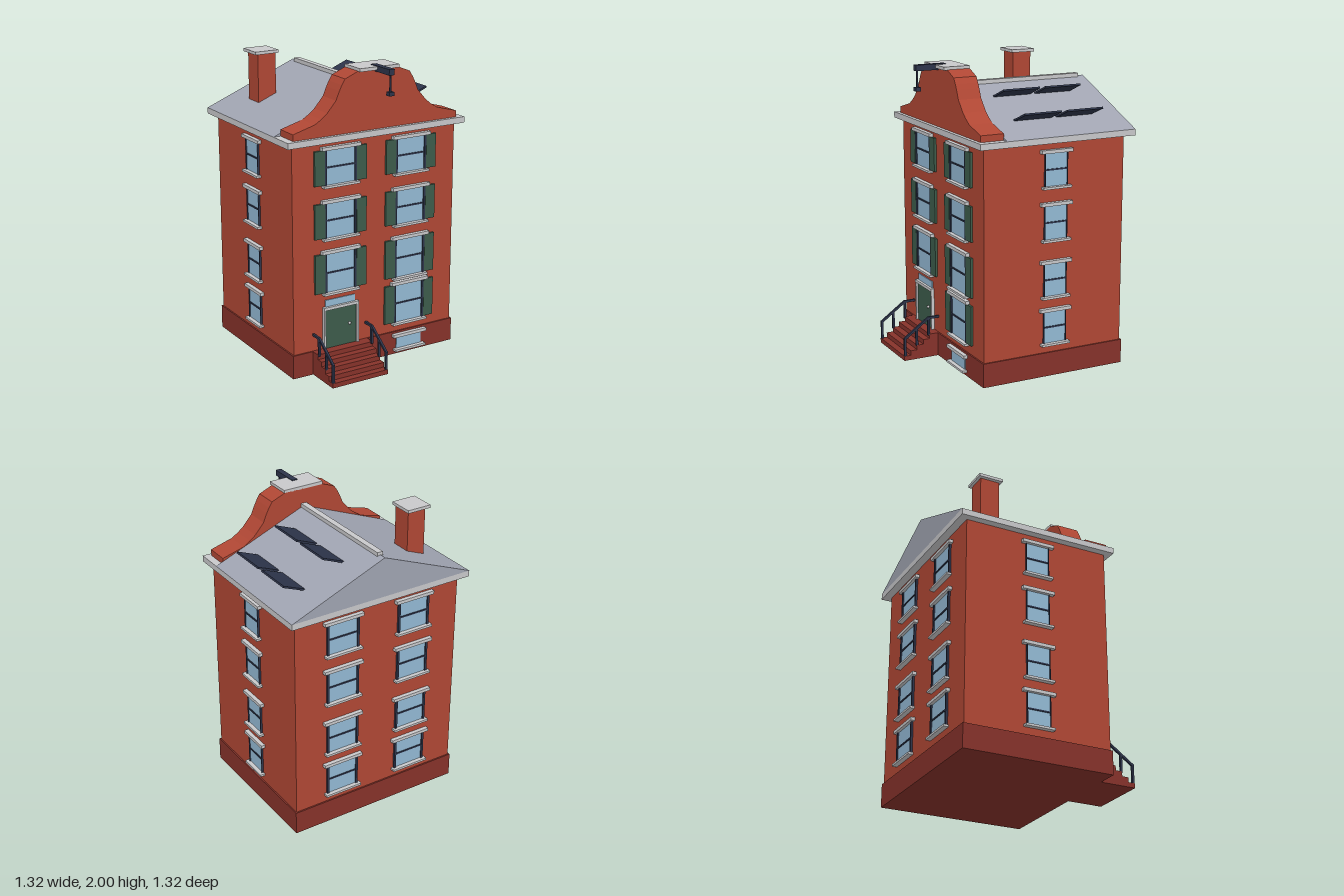
import * as THREE from 'three';

const mat = (name, color) => {
  const m = new THREE.MeshStandardMaterial({ color });
  m.name = name;
  return m;
};

export function createModel() {
  const brick = mat('brick red', 0xb04734);
  const plinth = mat('dark brick', 0x86322a);
  const stone = mat('pale stone', 0xc8c8ca);
  const slate = mat('slate grey', 0xa0a4b1);
  const glass = mat('window blue', 0x93b9d4);
  const navy = mat('dark navy', 0x2d344a);
  const green = mat('shutter green', 0x3d5c4b);

  const house = new THREE.Group();
  house.name = 'townhouse';

  const add = (parent, name, geo, material) => {
    const m = new THREE.Mesh(geo, material);
    m.name = name;
    parent.add(m);
    return m;
  };
  // Box given by its minimum and maximum on each axis
  const box = (parent, name, material, x0, x1, y0, y1, z0, z1) => {
    const m = add(parent, name, new THREE.BoxGeometry(x1 - x0, y1 - y0, z1 - z0), material);
    m.position.set((x0 + x1) / 2, (y0 + y1) / 2, (z0 + z1) / 2);
    return m;
  };
  // Outline in x and y, extruded from z0 to z1
  const slab = (name, material, points, z0, z1) => {
    const shape = new THREE.Shape(points.map(([x, y]) => new THREE.Vector2(x, y)));
    const geo = new THREE.ExtrudeGeometry(shape, { depth: z1 - z0, bevelEnabled: false });
    geo.translate(0, 0, z0);
    return add(house, name, geo, material);
  };

  // Body
  box(house, 'plinth', plinth, -0.62, 0.62, 0, 0.16, -0.615, 0.41);
  box(house, 'walls', brick, -0.61, 0.61, 0.16, 1.54, -0.605, 0.4);
  box(house, 'cornice', stone, -0.66, 0.66, 1.54, 1.58, -0.66, 0.445);

  // Roof
  slab('roof', slate, [[-0.66, 1.58], [0.66, 1.58], [0, 1.845]], -0.66, 0.265);
  box(house, 'ridgeCap', stone, -0.02, 0.02, 1.825, 1.863, -0.61, 0.265);

  // Curved front gable
  const half = [[0.61, 1.58], [0.61, 1.622], [0.456, 1.664], [0.41, 1.692], [0.368, 1.725],
    [0.305, 1.797], [0.28, 1.855], [0.262, 1.89], [0.239, 1.926], [0.143, 1.965]];
  const mirrored = half.map(([x, y]) => [-x, y]).reverse();
  slab('frontGable', brick, [...half, ...mirrored], 0.262, 0.42);
  box(house, 'gableCap', stone, -0.145, 0.145, 1.962, 1.983, 0.262, 0.443);

  // Hoist
  box(house, 'hoistBeam', navy, -0.02, 0.02, 1.95, 1.988, 0.37, 0.578);
  box(house, 'hoistRope', navy, -0.005, 0.005, 1.84, 1.955, 0.557, 0.567);
  box(house, 'hoistHook', navy, -0.018, 0.018, 1.82, 1.845, 0.544, 0.58);

  // Chimney
  box(house, 'chimney', brick, -0.46, -0.33, 1.6, 1.98, -0.437, -0.302);
  box(house, 'chimneyCap', stone, -0.485, -0.315, 1.98, 2, -0.457, -0.287);

  // Solar panels, tilted up towards the outside
  for (const [x, y] of [[0.2375, 1.805], [0.5175, 1.694]]) {
    for (const z of [-0.326, -0.025]) {
      const panel = add(house, 'solarPanel', new THREE.BoxGeometry(0.16, 0.012, 0.262), navy);
      panel.position.set(x, y, z);
      panel.rotation.z = 0.385;
    }
  }

  // Window facing local +z, with its wall at z = 0
  const addWindow = (x, z, turn, y0, y1, w, opts = {}) => {
    const g = new THREE.Group();
    g.name = 'window';
    g.position.set(x, 0, z);
    g.rotation.y = turn;
    house.add(g);
    const jamb = opts.jamb ?? 0;
    box(g, 'glass', glass, -w, w, y0, y1, -0.005, 0.006);
    for (const s of [-1, 1]) {
      const c = s * (w + jamb / 2);
      if (jamb) box(g, 'jamb', navy, c - jamb / 2, c + jamb / 2, y0, y1, -0.005, 0.014);
      const d = s * 0.154;
      if (opts.shutters) box(g, 'shutter', green, d - 0.037, d + 0.037, y0 + 0.003, y1, -0.005, 0.016);
    }
    const mid = (y0 + y1) / 2;
    if (!opts.plain) box(g, 'glazingBar', navy, -w, w, mid - 0.005, mid + 0.005, 0, 0.012);
    const lw = opts.lintel;
    box(g, 'lintel', stone, -lw, lw, y1, y1 + 0.022, -0.005, 0.028);
    box(g, 'sill', stone, -lw + 0.01, lw - 0.01, y0 - 0.015, y0, -0.005, 0.034);
  };

  // Front windows with shutters, the lowest only beside the door
  const wide = { jamb: 0.015, lintel: 0.143 };
  const frontRows = [[1.262, 1.49], [0.913, 1.145], [0.545, 0.81], [0.225, 0.493]];
  frontRows.forEach(([y0, y1], i) => {
    for (const x of i < 3 ? [-0.265, 0.265] : [0.265]) {
      addWindow(x, 0.4, 0, y0, y1, 0.103, { ...wide, shutters: true });
    }
  });
  addWindow(0.265, 0.41, 0, 0.04, 0.124, 0.098, { lintel: 0.13, plain: true });

  // Side and back windows
  for (const [y0, y1] of [[1.26, 1.473], [0.915, 1.135], [0.54, 0.757], [0.225, 0.438]]) {
    for (const s of [-1, 1]) {
      addWindow(s * 0.61, -0.105, s * Math.PI / 2, y0, y1, 0.078, { lintel: 0.112, jamb: 0.004 });
      addWindow(s * 0.265, -0.605, Math.PI, y0, y1, 0.103, wide);
    }
  }

  // Front door
  box(house, 'door', green, -0.382, -0.148, 0.16, 0.428, 0.395, 0.41);
  for (const s of [-1, 1]) {
    const x = -0.265 + s * 0.124;
    box(house, 'doorJamb', stone, x - 0.007, x + 0.007, 0.16, 0.445, 0.395, 0.422);
  }
  box(house, 'doorHead', stone, -0.396, -0.134, 0.427, 0.447, 0.395, 0.424);
  box(house, 'transomGlass', glass, -0.378, -0.155, 0.447, 0.492, 0.395, 0.406);
  const knob = add(house, 'doorKnob', new THREE.SphereGeometry(0.01, 12, 8), stone);
  knob.position.set(-0.2, 0.303, 0.416);

  // Front steps
  for (let i = 0; i < 5; i++) {
    box(house, 'step', plinth, -0.474, -0.058, i * 0.032, (i + 1) * 0.032, 0.4, 0.657 - i * 0.046);
  }

  // Railings
  const bar = (x, y0, z0, y1, z1) => {
    const len = Math.hypot(y1 - y0, z1 - z0);
    const m = add(house, 'railing', new THREE.BoxGeometry(0.015, 0.015, len), navy);
    m.position.set(x, (y0 + y1) / 2, (z0 + z1) / 2);
    m.rotation.x = -Math.atan2(y1 - y0, z1 - z0);
  };
  for (const x of [-0.465, -0.067]) {
    bar(x, 0.02, 0.648, 0.155, 0.648);
    bar(x, 0.09, 0.563, 0.21, 0.563);
    bar(x, 0.15, 0.475, 0.275, 0.475);
    bar(x, 0.15, 0.652, 0.275, 0.475);
    bar(x, 0.273, 0.48, 0.273, 0.4);
  }
  return house;
}
